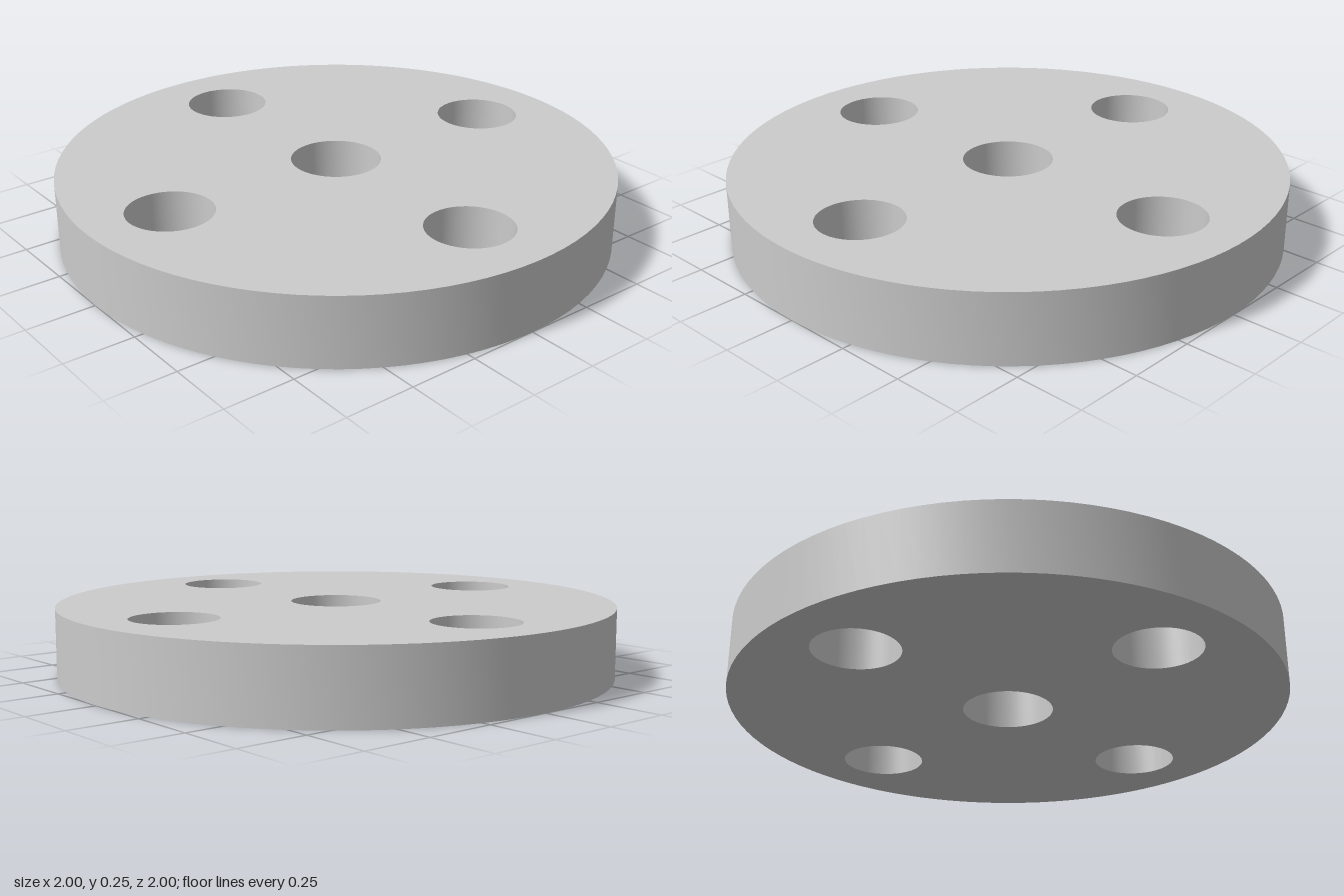
import * as THREE from 'three';
import { toCreasedNormals } from 'three/addons/utils/BufferGeometryUtils.js';

const RADIUS = 1;
const THICKNESS = 0.253;
const BORE_RADIUS = 0.162;
const BOLT_RADIUS = 0.152;
const BOLT_CIRCLE = 0.7;
const BOLT_COUNT = 4;

function circle(PathType, x, y, radius) {
  return new PathType().absarc(x, y, radius, 0, Math.PI * 2, false);
}

export function createModel() {
  const group = new THREE.Group();
  group.name = 'flange';

  // Round outline with a central bore
  const outline = circle(THREE.Shape, 0, 0, RADIUS);
  outline.holes.push(circle(THREE.Path, 0, 0, BORE_RADIUS));

  // Bolt holes evenly spaced on the bolt circle
  for (let i = 0; i < BOLT_COUNT; i++) {
    const a = (i / BOLT_COUNT) * Math.PI * 2;
    outline.holes.push(
      circle(THREE.Path, BOLT_CIRCLE * Math.cos(a), BOLT_CIRCLE * Math.sin(a), BOLT_RADIUS)
    );
  }

  // Disc laid flat on the ground, smooth walls with sharp rims
  const geometry = new THREE.ExtrudeGeometry(outline, {
    depth: THICKNESS,
    bevelEnabled: false,
    curveSegments: 48,
  });
  geometry.rotateX(-Math.PI / 2);

  const disc = new THREE.Mesh(
    toCreasedNormals(geometry, Math.PI / 6),
    new THREE.MeshStandardMaterial({ color: 0xcccccc })
  );
  disc.name = 'flangeDisc';
  group.add(disc);

  return group;
}
